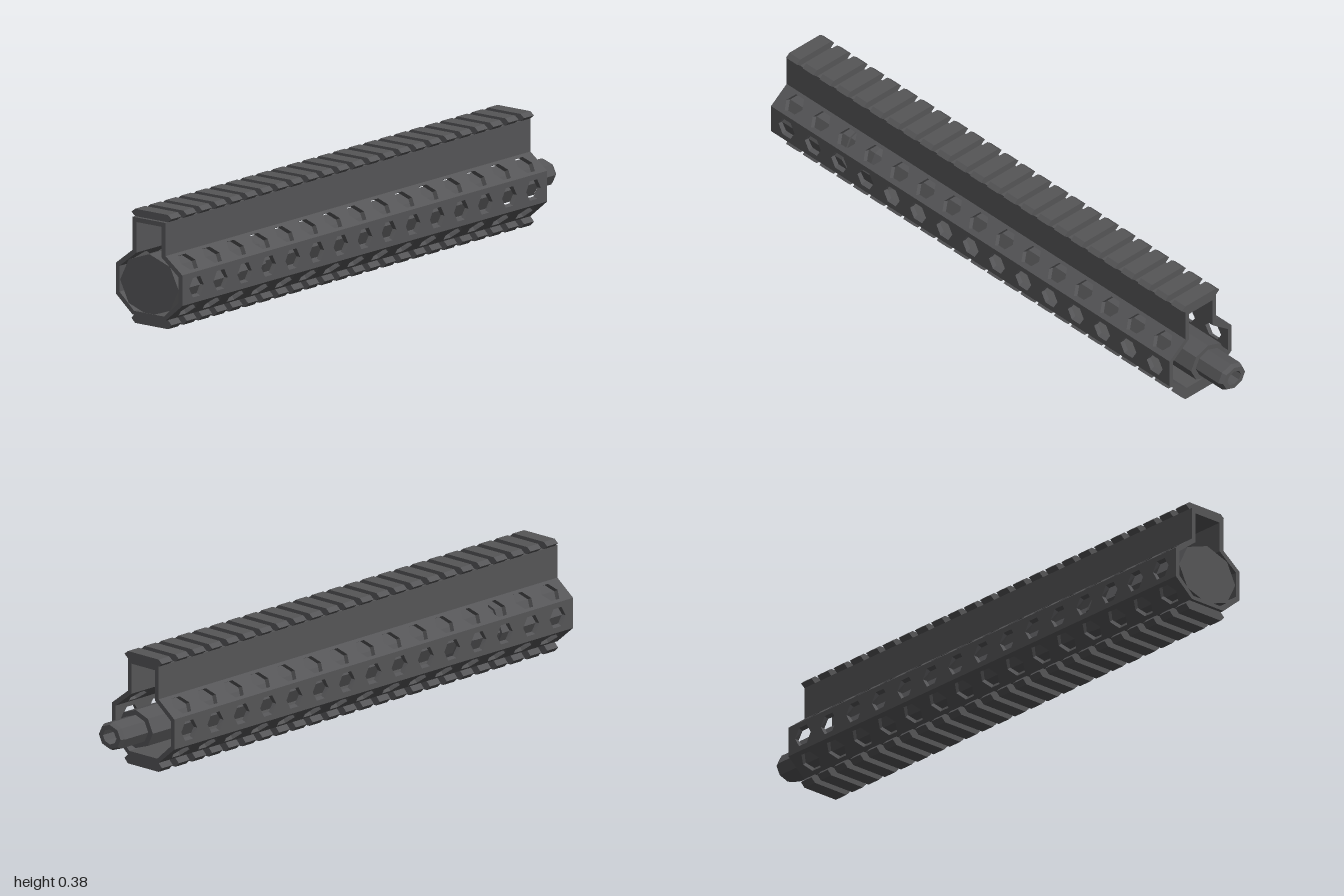
import * as THREE from 'three';

const X0 = -1, X1 = 0.845;           // ends of the handguard
const AXIS_Y = 0.137;                // height of the barrel axis
const metal = new THREE.MeshStandardMaterial({ color: 0x555557 });
metal.name = 'gunmetal grey';

function addMesh(parent, geometry, name) {
  const mesh = new THREE.Mesh(geometry, metal);
  mesh.name = name;
  parent.add(mesh);
  return mesh;
}

// Mitred plate along x: outer edge A-B, inner edge a-b, all as [z, y]
function plate(A, B, a, b, holed) {
  const shape = new THREE.Shape([
    new THREE.Vector2(X0, 0), new THREE.Vector2(X1, 0),
    new THREE.Vector2(X1, 1), new THREE.Vector2(X0, 1)]);
  const width = Math.hypot(B[0] - A[0], B[1] - A[1]);
  if (holed) {
    for (let i = 0; i < 15; i++) {
      const cx = -0.928 + i * 0.1217, r = 0.037, pts = [];
      for (let k = 0; k < 6; k++) {
        const t = -k * Math.PI / 3;
        pts.push(new THREE.Vector2(cx + r * Math.cos(t), 0.5 + r * Math.sin(t) / width));
      }
      shape.holes.push(new THREE.Path(pts));
    }
  }
  const g = new THREE.ExtrudeGeometry(shape, { depth: 1, bevelEnabled: false });
  const p = g.attributes.position;
  const mix = THREE.MathUtils.lerp;
  for (let i = 0; i < p.count; i++) {
    const u = p.getY(i), d = p.getZ(i);
    const [z, y] = [0, 1].map(k => mix(mix(A[k], B[k], u), mix(a[k], b[k], u), d));
    p.setXYZ(i, p.getX(i), y, z);
  }
  g.computeVertexNormals();
  return g;
}

// Rail tooth with flared sides, from y0 to y1
function toothGeometry(y0, y1) {
  const ym = (y0 + y1) / 2;
  const pts = [[-0.068, y0], [0.068, y0], [0.083, ym], [0.068, y1], [-0.068, y1], [-0.083, ym]];
  const shape = new THREE.Shape(pts.map(q => new THREE.Vector2(...q)));
  const g = new THREE.ExtrudeGeometry(shape, { depth: 0.05, bevelEnabled: false });
  return g.rotateY(Math.PI / 2);
}

export function createModel() {
  const model = new THREE.Group();
  model.name = 'railedHandguard';

  // Hollow shell: one half profile, mirrored
  const outer = [[0.068, 0.352], [0.068, 0.243], [0.1375, 0.19], [0.1375, 0.089], [0.068, 0.03]];
  const inner = [[0.052, 0.337], [0.052, 0.236], [0.122, 0.182], [0.122, 0.097], [0.062, 0.043]];
  const flip = ([z, y]) => [-z, y];
  const names = ['upperWall', 'upperSlope', 'sideWall', 'lowerSlope'];
  const shell = new THREE.Group();
  shell.name = 'shell';
  model.add(shell);
  names.forEach((name, i) => {
    const [A, B, a, b] = [outer[i], outer[i + 1], inner[i], inner[i + 1]];
    addMesh(shell, plate(A, B, a, b, i > 0), name + 'Front');
    addMesh(shell, plate(flip(B), flip(A), flip(b), flip(a), i > 0), name + 'Back');
  });
  addMesh(shell, plate(flip(outer[0]), outer[0], flip(inner[0]), inner[0], false), 'topRailBase');
  addMesh(shell, plate(outer[4], flip(outer[4]), inner[4], flip(inner[4]), false), 'bottomRailBase');

  // Rows of teeth above and below
  for (const [name, y0, y1] of [['topRail', 0.352, 0.376], ['bottomRail', 0, 0.03]]) {
    const rail = new THREE.Group();
    rail.name = name;
    model.add(rail);
    const g = toothGeometry(y0, y1);
    for (let i = 0; i < 24; i++) {
      addMesh(rail, g, name + 'Tooth').position.x = 0.795 - i * 0.0775;
    }
  }

  // Eight-sided stepped barrel with a bored muzzle
  const profile = [
    [0, -0.998], [0.121, -0.998], [0.121, -0.69], [0.112, -0.69], [0.112, -0.58],
    [0.1, -0.53], [0.076, -0.53], [0.076, 0.88], [0.056, 0.88], [0.056, 0.985],
    [0.048, 1], [0.03, 1], [0.03, 0.95], [0, 0.95]];
  const lathe = new THREE.LatheGeometry(profile.map(q => new THREE.Vector2(...q)), 8);
  const barrelGeometry = lathe.rotateZ(-Math.PI / 2).scale(1, 0.84, 1).toNonIndexed();
  barrelGeometry.computeVertexNormals();
  addMesh(model, barrelGeometry, 'barrel').position.y = AXIS_Y;

  return model;
}
